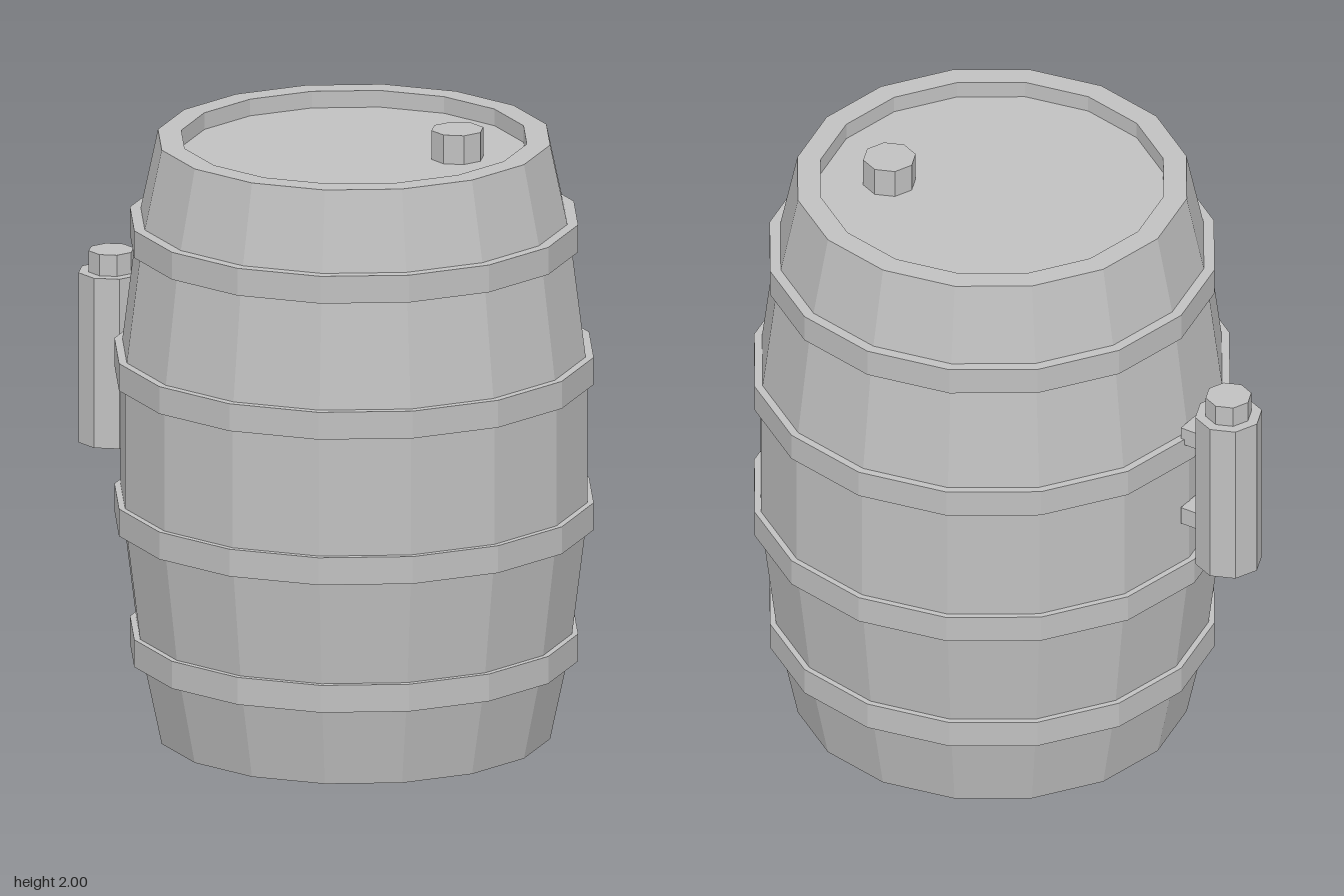
import * as THREE from 'three';

export function createModel() {
  const model = new THREE.Group();
  model.name = 'barrel';
  const grey = new THREE.MeshStandardMaterial({ color: 0xc0c0c0, flatShading: true });
  grey.name = 'grey';

  const add = (name, geometry, x, y, z, parent = model) => {
    const mesh = new THREE.Mesh(geometry, grey);
    mesh.name = name;
    mesh.position.set(x, y, z);
    parent.add(mesh);
    return mesh;
  };
  const lathe = (profile) =>
    new THREE.LatheGeometry(profile.map(([r, y]) => new THREE.Vector2(r, y)), 16);
  // Upright eight-sided prism standing on y
  const prism = (name, r, y0, y1, x, z, parent) =>
    add(name, new THREE.CylinderGeometry(r, r, y1 - y0, 8), x, (y0 + y1) / 2, z, parent);

  const centreX = 0.115;

  // Bulging body with a raised rim around the sunken lid
  add('body', lathe([
    [0, 0], [0.63, 0], [0.695, 0.305], [0.75, 0.745], [0.75, 1.22],
    [0.695, 1.655], [0.63, 1.96], [0.555, 1.96], [0.555, 1.905], [0, 1.905],
  ]), centreX, 0, 0);

  // Four hoops, each a closed ring
  for (const [y, r] of [[0.26, 0.72], [0.695, 0.77], [1.175, 0.77], [1.61, 0.72]]) {
    const inner = r - 0.07, h = 0.09;
    add('hoop', lathe([[inner, 0], [r, 0], [r, h], [inner, h], [inner, 0]]), centreX, y, 0);
  }

  // Plug in the lid
  prism('plug', 0.085, 1.9, 2.0, 0.42, -0.13);

  // Side canister with its cap and two brackets
  const canister = new THREE.Group();
  canister.name = 'canister';
  model.add(canister);
  prism('canisterBody', 0.108, 0.83, 1.39, -0.785, 0, canister);
  prism('canisterCap', 0.074, 1.38, 1.46, -0.785, 0, canister);
  for (const y of [0.97, 1.275]) {
    add('bracket', new THREE.BoxGeometry(0.07, 0.06, 0.09), -0.668, y, 0, canister);
  }

  return model;
}
